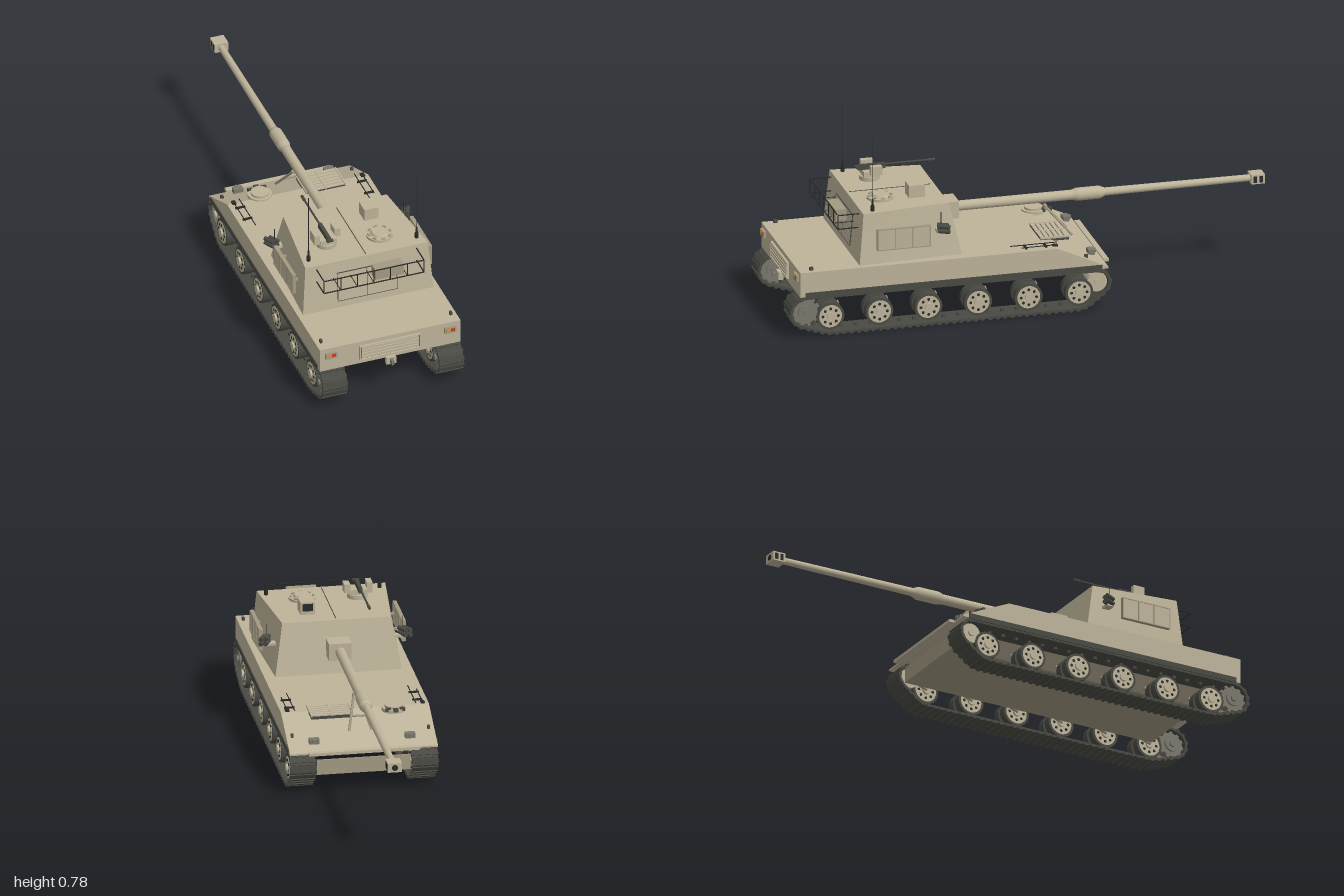
import * as THREE from 'three';
import { mergeGeometries } from 'three/addons/utils/BufferGeometryUtils.js';

const paint = (color) => new THREE.MeshStandardMaterial({ color });
const TAN = paint(0xbdb399), SHADE = paint(0xa39a82), DARK = paint(0x4a4a44), BLACK = paint(0x2a2a28),
  STEEL = paint(0x7a776c), ORANGE = paint(0xd8932f), RED = paint(0xc23a2c);

const box = (w, h, d, x = 0, y = 0, z = 0) => new THREE.BoxGeometry(w, h, d).translate(x, y, z);
// Cylinder along the chosen axis
function cyl(axis, r, len, x, y, z, seg = 20, r2 = r) {
  const g = new THREE.CylinderGeometry(r2, r, len, seg);
  if (axis === 'x') g.rotateZ(-Math.PI / 2);
  if (axis === 'z') g.rotateX(Math.PI / 2);
  return g.translate(x, y, z);
}
// Thin round bar between two points
function bar(a, b, r = 0.003) {
  const p = new THREE.Vector3(...a), q = new THREE.Vector3(...b);
  return new THREE.TubeGeometry(new THREE.LineCurve3(p, q), 1, r, 6);
}
// Side profile of [z, y] points extruded across x
function profile(points, width) {
  const shape = new THREE.Shape(points.map(([z, y]) => new THREE.Vector2(z, y)));
  return new THREE.ExtrudeGeometry(shape, { depth: width, bevelEnabled: false })
    .rotateY(-Math.PI / 2).translate(width / 2, 0, 0);
}

export function createModel() {
  const model = new THREE.Group();
  model.name = 'trackedGun';
  const add = (name, mat, ...geos) => {
    const plain = geos.map((g) => (g.index ? g.toNonIndexed() : g));
    const mesh = new THREE.Mesh(plain.length > 1 ? mergeGeometries(plain) : plain[0], mat);
    mesh.name = name;
    model.add(mesh);
  };

  // Hull: closed upper body, belly plate and end plates below
  add('upperHull', TAN, profile([[0.95, 0.168], [0.95, 0.27], [-0.09, 0.27], [-0.295, 0.175], [-0.295, 0.168]], 0.586));
  add('bellyPlate', SHADE, new THREE.PlaneGeometry(0.375, 1.11).rotateX(Math.PI / 2).translate(0, 0.078, 0.27));
  add('endPlates', SHADE, box(0.37, 0.062, 0.006, 0, 0.109, 0.822), box(0.37, 0.062, 0.006, 0, 0.109, -0.282));
  add('noseBar', TAN, box(0.44, 0.012, 0.022, 0, 0.175, -0.305));

  // Front grille
  add('grilleBack', DARK, box(0.25, 0.062, 0.004, -0.002, 0.219, 0.951));
  const slats = [0, 1, 2, 3].map((i) => box(0.238, 0.01, 0.01, -0.002, 0.199 + i * 0.0135, 0.953));
  add('grilleSlats', TAN, ...slats, box(0.252, 0.004, 0.012, -0.002, 0.25, 0.953), box(0.252, 0.004, 0.012, -0.002, 0.188, 0.953),
    box(0.004, 0.062, 0.012, -0.127, 0.219, 0.953), box(0.004, 0.062, 0.012, 0.123, 0.219, 0.953));
  add('towHitch', TAN, box(0.04, 0.032, 0.02, 0, 0.159, 0.955));
  add('towHook', STEEL, box(0.012, 0.02, 0.03, 0, 0.16, 0.97));

  // Track path: outline stretched around end and road wheels [z, y, r]
  const rounds = [[0.925, 0.1, 0.06], [0.825, 0.075, 0.066], [-0.18, 0.075, 0.066], [-0.253, 0.111, 0.049]];
  const path = new THREE.CurvePath();
  let last = null;
  for (let i = 0; i <= 96; i++) {
    const c = Math.cos(i * Math.PI / 48), s = Math.sin(i * Math.PI / 48);
    const [z, y, r] = rounds.reduce((a, b) => (a[0] * c + a[1] * s + a[2] >= b[0] * c + b[1] * s + b[2] ? a : b));
    const p = new THREE.Vector2(z + r * c, y + r * s);
    if (last) path.add(new THREE.LineCurve(last, p));
    last = p;
  }
  const LINKS = 92, links = path.getSpacedPoints(LINKS);
  const wheelZ = [0.825, 0.627, 0.429, 0.228, 0.024, -0.18];

  for (const s of [-1, 1]) {
    const side = s > 0 ? 'left' : 'right', tx = s * 0.242;

    // Track links with raised pads
    const shoes = [], pads = [];
    for (let i = 0; i < LINKS; i++) {
      const a = links[i], b = links[i + 1];
      const place = (g) => g.rotateX(-Math.atan2(b.y - a.y, b.x - a.x)).translate(tx, (a.y + b.y) / 2, (a.x + b.x) / 2);
      shoes.push(place(box(0.1, 0.009, 0.031)));
      pads.push(place(box(0.104, 0.012, 0.014, 0, -0.003, 0)));
      if (i % 2) pads.push(place(box(0.012, 0.014, 0.012, 0, 0.008, 0)));
    }
    add(side + 'TrackLinks', DARK, ...shoes);
    add(side + 'TrackPads', DARK, ...pads);

    // Road wheels: paired rubber tyres, discs, hub, bolts and swing arm
    for (const z of wheelZ) {
      add(side + 'Tyre', DARK, cyl('x', 0.056, 0.032, s * 0.221, 0.075, z, 28), cyl('x', 0.056, 0.032, s * 0.265, 0.075, z, 28));
      add(side + 'WheelDisc', TAN, cyl('x', 0.046, 0.078, s * 0.2435, 0.075, z, 28), cyl('x', 0.016, 0.094, s * 0.243, 0.075, z, 16));
      const holes = [];
      for (let i = 0; i < 8; i++) {
        const a = i * Math.PI / 4;
        holes.push(cyl('x', 0.006, 0.08, s * 0.2435, 0.075 + 0.031 * Math.cos(a), z + 0.031 * Math.sin(a), 8));
      }
      add(side + 'WheelHoles', BLACK, ...holes);
      add(side + 'SwingArm', SHADE, bar([s * 0.195, 0.075, z], [s * 0.195, 0.1, z - 0.055], 0.008));
    }

    // Drive sprocket and idler
    const teeth = [];
    for (let i = 0; i < 11; i++) {
      for (const o of [0.212, 0.272]) teeth.push(box(0.01, 0.014, 0.013, 0, 0.052, 0).rotateX(i * Math.PI * 2 / 11).translate(s * o, 0.1, 0.925));
    }
    add(side + 'Sprocket', STEEL, cyl('x', 0.049, 0.01, s * 0.212, 0.1, 0.925, 24), cyl('x', 0.049, 0.01, s * 0.272, 0.1, 0.925, 24),
      cyl('x', 0.03, 0.085, s * 0.242, 0.1, 0.925, 20), cyl('x', 0.013, 0.1, s * 0.242, 0.1, 0.925, 12), ...teeth);
    add(side + 'Idler', TAN, cyl('x', 0.04, 0.075, s * 0.242, 0.111, -0.253, 24), cyl('x', 0.014, 0.09, s * 0.242, 0.111, -0.253, 14));
    add(side + 'FinalDrive', TAN, cyl('x', 0.009, 0.05, s * 0.175, 0.15, 0.86), cyl('x', 0.014, 0.012, s * 0.16, 0.15, 0.86));
    add(side + 'Skirt', DARK, box(0.005, 0.022, 1.2, s * 0.2945, 0.175, 0.33));

    // Lamps
    add(side + 'LampHousing', SHADE, box(0.048, 0.027, 0.012, s * 0.248, 0.24, 0.955));
    add(side + 'LampAmber', ORANGE, box(0.018, 0.013, 0.004, s * 0.248 - 0.01, 0.241, 0.961));
    add(side + 'LampRed', RED, box(0.016, 0.013, 0.004, s * 0.248 + 0.009, 0.241, 0.961));
    add(side + 'DrivingLight', STEEL, box(0.04, 0.02, 0.026, s * 0.19, 0.208, -0.25), cyl('z', 0.009, 0.01, s * 0.19, 0.21, -0.266, 12));
    add(side + 'LiftingEyes', DARK, ...[-0.21, 0.9].map((z) => box(0.01, 0.014, 0.014, s * 0.27, z < 0 ? 0.22 : 0.276, z)));

    // Deck tools
    add(side + 'Tools', BLACK, bar([s * 0.24, 0.278, -0.1], [s * 0.24, 0.278, 0.09], 0.002), bar([s * 0.268, 0.278, -0.09], [s * 0.268, 0.278, 0.05], 0.002),
      box(0.04, 0.006, 0.008, s * 0.253, 0.274, -0.05), box(0.04, 0.006, 0.008, s * 0.253, 0.274, 0.03), box(0.016, 0.006, 0.022, s * 0.268, 0.277, -0.085));

    // Turret side stowage panel
    add(side + 'SidePanel', TAN, box(0.012, 0.086, 0.21, s * 0.283, 0.374, 0.53));
    add(side + 'SidePanelFrame', SHADE, ...[0.425, 0.495, 0.565, 0.635].map((z) => box(0.015, 0.086, 0.005, s * 0.283, 0.374, z)),
      box(0.015, 0.004, 0.212, s * 0.283, 0.416, 0.53), box(0.015, 0.004, 0.212, s * 0.283, 0.332, 0.53));
    add(side + 'PanelBrackets', SHADE, ...[0.45, 0.61].map((z) => box(0.04, 0.01, 0.01, s * 0.262, 0.375, z)));

    // Smoke launchers and side stalk
    add(side + 'LauncherBracket', TAN, box(0.05, 0.01, 0.03, s * 0.253, 0.378, 0.375));
    const tubes = [];
    for (let i = 0; i < 4; i++) tubes.push(cyl('z', 0.009, 0.045, 0, 0, 0, 12).rotateY(-s * 0.5).translate(s * (0.268 + 0.019 * (i % 2)), 0.386 + 0.019 * (i >> 1), 0.367));
    add(side + 'SmokeLaunchers', DARK, ...tubes);
    add(side + 'SideStalk', BLACK, bar([s * 0.268, 0.4, 0.375], [s * 0.268, 0.46, 0.375], 0.0015));

    // Whip antenna
    add(side + 'Antenna', BLACK, cyl('y', 0.008, 0.022, s * 0.225, 0.486, 0.64, 12), cyl('y', 0.005, 0.03, s * 0.225, 0.51, 0.64, 10, 0.003),
      cyl('y', 0.0012, 0.258, s * 0.225, 0.648, 0.64, 6));
  }

  // Turret: tapered box, narrower towards the gun
  const turret = new THREE.BoxGeometry(1, 1, 1), tp = turret.attributes.position;
  for (let i = 0; i < tp.count; i++) {
    const top = tp.getY(i) > 0, rear = tp.getZ(i) > 0;
    const w = top ? (rear ? 0.255 : 0.215) : (rear ? 0.272 : 0.25);
    const z = top ? (rear ? 0.685 : 0.33) : (rear ? 0.705 : 0.285);
    tp.setXYZ(i, Math.sign(tp.getX(i)) * w, top ? 0.476 : 0.268, z);
  }
  turret.computeVertexNormals();
  add('turret', TAN, turret);
  add('roofSeam', DARK, box(0.003, 0.002, 0.33, 0, 0.4765, 0.51));
  const doorTilt = -0.097;
  add('turretDoors', TAN, box(0.246, 0.125, 0.006).rotateX(doorTilt).translate(-0.002, 0.3625, 0.696));
  add('doorSeams', DARK, ...[-0.125, -0.002, 0.121].map((x) => box(0.002, 0.126, 0.008).rotateX(doorTilt).translate(x, 0.3625, 0.696)),
    ...[0, 1].map((i) => box(0.248, 0.002, 0.008, -0.002, 0.3 + i * 0.125, 0.702 - i * 0.012)));

  // Open rack with a stowed box
  const rack = [];
  for (const y of [0.405, 0.462]) {
    rack.push(bar([-0.21, y, 0.775], [0.206, y, 0.775], 0.0025));
    for (const x of [-0.21, 0.206]) rack.push(bar([x, y, 0.69], [x, y, 0.775], 0.0025));
  }
  for (let i = 0; i < 7; i++) {
    const x = -0.21 + i * 0.0693;
    rack.push(bar([x, 0.405, 0.775], [x, 0.462, 0.775], 0.002), bar([x, 0.405, 0.69], [x, 0.405, 0.775], 0.0015));
  }
  add('stowageRack', BLACK, ...rack);
  add('stowedBox', SHADE, box(0.12, 0.046, 0.045, 0.067, 0.432, 0.742));

  // Gun
  const gunY = 0.375;
  add('mantlet', TAN, box(0.09, 0.07, 0.09, 0, gunY, 0.287));
  add('barrel', TAN, cyl('z', 0.02, 0.5, 0, gunY, 0.01, 24), cyl('z', 0.0135, 0.62, 0, gunY, -0.64, 24, 0.0165));
  add('fumeExtractor', TAN, cyl('z', 0.026, 0.09, 0, gunY, -0.29, 24), cyl('z', 0.026, 0.02, 0, gunY, -0.235, 24, 0.02),
    cyl('z', 0.018, 0.02, 0, gunY, -0.345, 24, 0.026));
  add('muzzleBrake', TAN, box(0.056, 0.038, 0.055, 0, gunY, -0.9715));
  add('muzzlePorts', BLACK, ...[-1, 1].flatMap((s) => [-0.984, -0.96].map((z) => box(0.002, 0.026, 0.014, s * 0.028, gunY, z))),
    cyl('z', 0.012, 0.002, 0, gunY, -0.999, 20));

  // Travel lock
  add('travelLock', SHADE, bar([-0.045, 0.225, -0.215], [-0.01, 0.338, -0.118], 0.005), bar([0.045, 0.225, -0.215], [0.01, 0.338, -0.118], 0.005),
    box(0.03, 0.012, 0.012, 0, 0.338, -0.118), bar([-0.03, 0.272, -0.175], [0.03, 0.272, -0.175], 0.004));

  // Driver's hatch and engine louvres
  add('driverHatch', TAN, cyl('y', 0.048, 0.014, -0.15, 0.269, -0.11, 28), cyl('y', 0.036, 0.01, -0.15, 0.28, -0.11, 28));
  add('driverPeriscopes', DARK, ...[-1, 0, 1].map((i) => box(0.02, 0.014, 0.012, -0.15 + i * 0.028, 0.276, -0.155 + Math.abs(i) * 0.012)));
  add('engineGrille', DARK, box(0.165, 0.012, 0.115, 0.103, 0.269, -0.107));
  const louvres = [0, 1, 2, 3, 4, 5].map((i) => box(0.155, 0.004, 0.015, 0.103, 0.277, -0.156 + i * 0.0195));
  add('engineLouvres', TAN, ...louvres, ...[0.022, 0.103, 0.184].map((x) => box(0.006, 0.008, 0.117, x, 0.277, -0.107)));

  // Commander's hatch and sight
  add('commanderHatch', TAN, cyl('y', 0.053, 0.012, 0.094, 0.48, 0.575, 32), cyl('y', 0.038, 0.014, 0.094, 0.489, 0.575, 28, 0.03));
  const blocks = [];
  for (let i = 0; i < 8; i++) blocks.push(box(0.014, 0.008, 0.008, 0, 0.487, 0.044).rotateY(i * Math.PI / 4).translate(0.094, 0, 0.575));
  add('visionBlocks', SHADE, ...blocks);
  add('sight', TAN, box(0.058, 0.052, 0.064, 0.101, 0.501, 0.435));
  add('sightWindow', BLACK, box(0.042, 0.03, 0.003, 0.101, 0.506, 0.402));

  // Roof machine gun on a ring mount
  add('gunRing', TAN, cyl('y', 0.04, 0.018, -0.122, 0.484, 0.56, 28));
  add('gunMount', TAN, box(0.07, 0.022, 0.06, -0.122, 0.504, 0.56), box(0.022, 0.042, 0.05, -0.168, 0.52, 0.56), box(0.024, 0.036, 0.045, -0.077, 0.525, 0.545));
  add('machineGun', DARK, box(0.014, 0.022, 0.11, -0.125, 0.525, 0.55), cyl('z', 0.004, 0.2, -0.125, 0.529, 0.4, 10),
    cyl('z', 0.006, 0.03, -0.125, 0.529, 0.31, 10), box(0.026, 0.008, 0.012, -0.125, 0.527, 0.61));

  return model;
}
